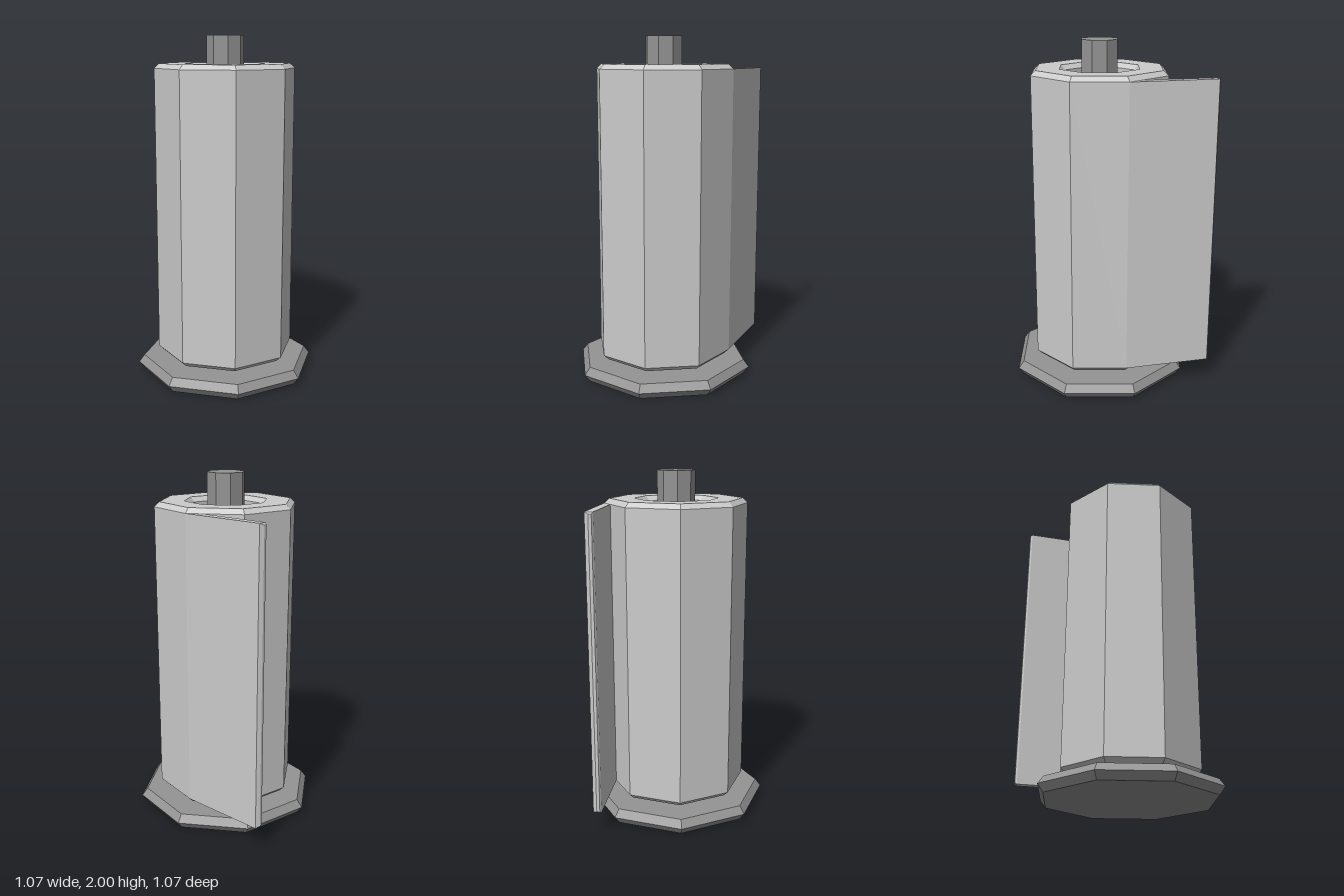
import * as THREE from 'three';
import { ConvexGeometry } from 'three/addons/geometries/ConvexGeometry.js';

const paper = new THREE.MeshStandardMaterial({ color: 0xcccccc, flatShading: true });
const stand = new THREE.MeshStandardMaterial({ color: 0x949494, flatShading: true });

// Eight-sided turned part from [radius, y] pairs, outside running upwards
function turned(name, profile, material) {
  const points = profile.map(([r, y]) => new THREE.Vector2(r, y));
  const mesh = new THREE.Mesh(new THREE.LatheGeometry(points, 8), material);
  mesh.name = name;
  return mesh;
}

export function createModel() {
  const model = new THREE.Group();
  model.name = 'paperTowelHolder';

  // Base plate with a bevelled rim
  model.add(turned('base', [[0, 0], [0.5, 0], [0.533, 0.043], [0.5, 0.087], [0, 0.087]], stand));

  // Central pole
  model.add(turned('pole', [[0.108, 0.08], [0.108, 2], [0, 2]], stand));

  // Hollow roll, chamfered on the inner and outer rims
  model.add(turned('paperRoll', [
    [0.24, 0.114], [0.38, 0.114], [0.409, 0.142], [0.409, 1.816], [0.38, 1.843],
    [0.24, 1.843], [0.211, 1.816], [0.211, 0.142], [0.24, 0.114],
  ], paper));

  // Loose sheet leaving the roll at its side, with a bevelled free edge
  const outline = [
    // x, z, inset from top and bottom
    [0.409, 0, 0], [0.494, -0.49, 0], [0.474, -0.506, 0.01],
    [0.457, -0.508, 0.01], [0.448, -0.498, 0], [0.368, -0.06, 0],
  ];
  const corners = outline.flatMap(([x, z, inset]) => [
    new THREE.Vector3(x, 0.142 + inset, z),
    new THREE.Vector3(x, 1.816 - inset, z),
  ]);
  const sheet = new THREE.Mesh(new ConvexGeometry(corners), paper);
  sheet.name = 'looseSheet';
  model.add(sheet);

  return model;
}
